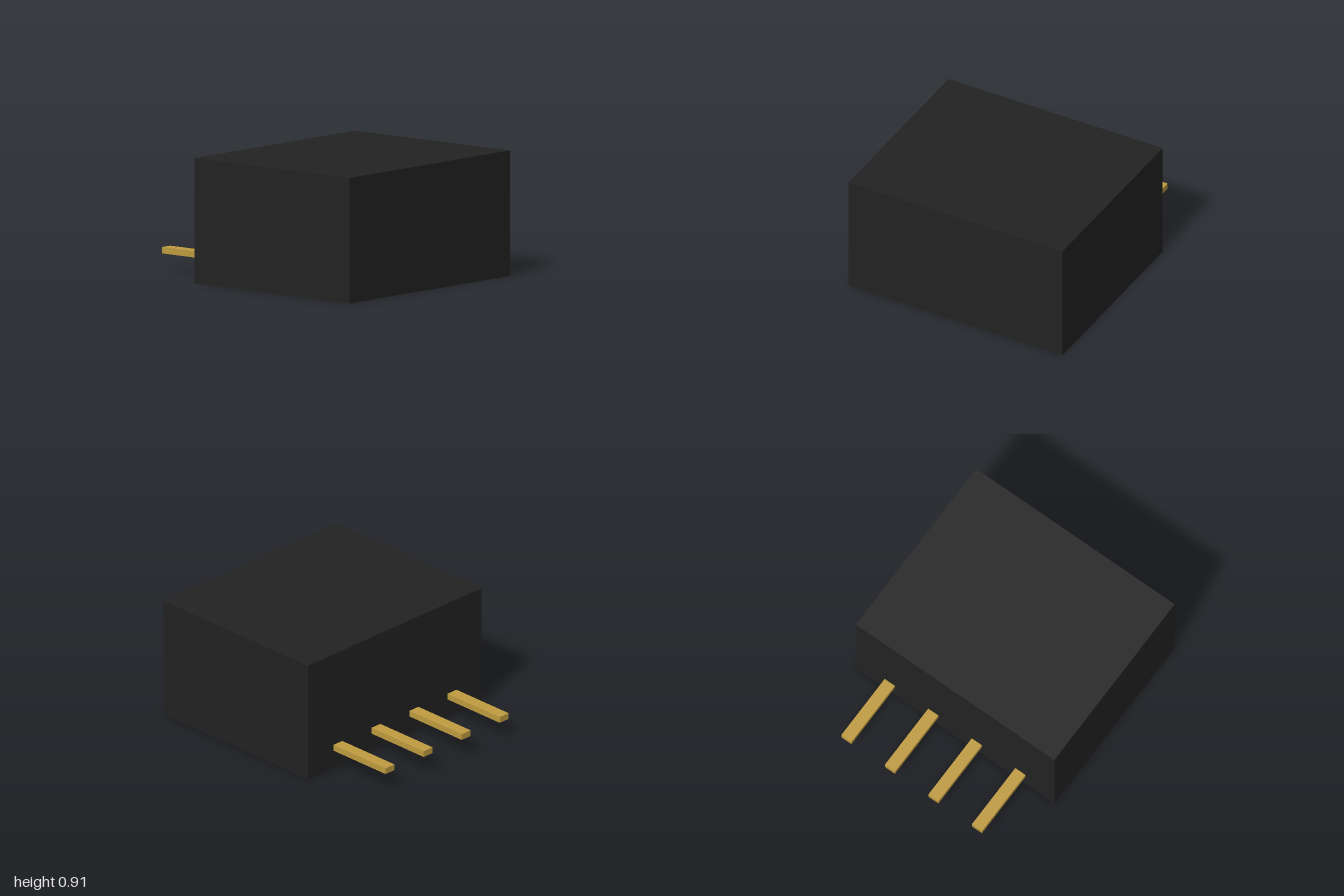
import * as THREE from 'three';

export function createModel() {
  const model = new THREE.Group();
  model.name = 'pinHeaderBlock';

  const blackPlastic = new THREE.MeshStandardMaterial({ color: 0x222222 });
  blackPlastic.name = 'black plastic';
  const gold = new THREE.MeshStandardMaterial({ color: 0xbf9b40 });
  gold.name = 'gold';

  // Box placed by its minimum and maximum corners
  function addBox(name, material, min, max) {
    const size = max.map((v, i) => v - min[i]);
    const mesh = new THREE.Mesh(new THREE.BoxGeometry(...size), material);
    mesh.position.set(...max.map((v, i) => (v + min[i]) / 2));
    mesh.name = name;
    model.add(mesh);
  }

  // Housing
  addBox('housing', blackPlastic, [-0.88, 0, -0.47], [0.88, 0.91, 1]);

  // Four flat contact pins, evenly spaced along the back
  const pitch = 0.386, halfWidth = 0.045;
  for (let i = 0; i < 4; i++) {
    const x = (i - 1.5) * pitch;
    addBox(`pin${i + 1}`, gold, [x - halfWidth, 0.138, -1], [x + halfWidth, 0.184, -0.47]);
  }

  return model;
}
